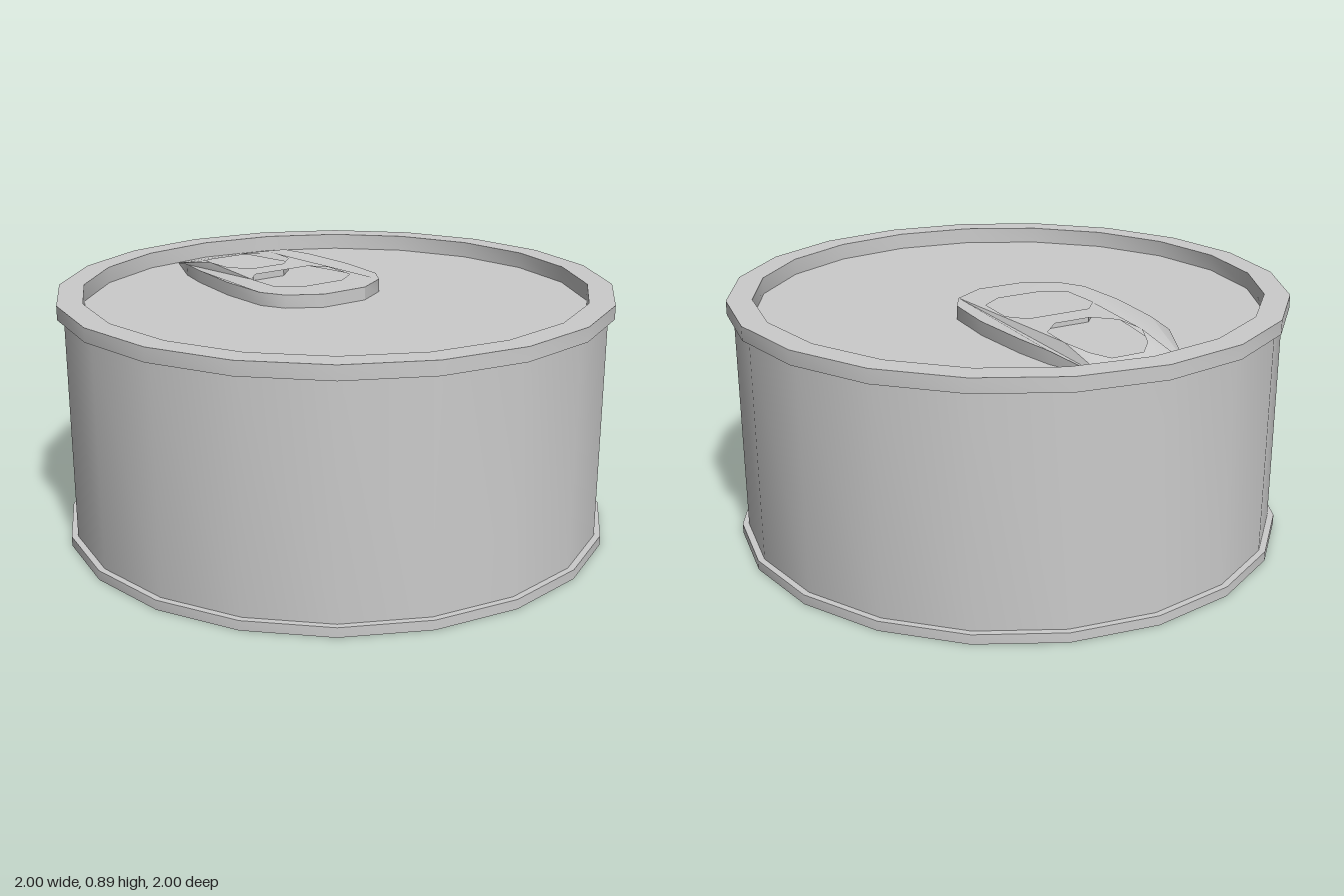
import * as THREE from 'three';
import { toCreasedNormals } from 'three/addons/utils/BufferGeometryUtils.js';

const SIDES = 20;
const LID_Y = 0.83;

export function createModel() {
  const group = new THREE.Group();
  group.name = 'tinCan';
  const material = new THREE.MeshStandardMaterial({ color: 0xcccccc });

  const add = (name, geometry) => {
    const mesh = new THREE.Mesh(toCreasedNormals(geometry, Math.PI / 6), material);
    mesh.name = name;
    group.add(mesh);
  };
  // Profiles run bottom to top on the outside, as [radius, height]
  const lathe = (name, profile) =>
    add(name, new THREE.LatheGeometry(profile.map(([r, y]) => new THREE.Vector2(r, y)), SIDES));

  // Wall and the two rims that fold over its ends
  lathe('wall', [[0.977, 0.035], [0.977, 0.84]]);
  lathe('topRim', [[0.977, 0.84], [1, 0.84], [1, 0.89], [0.91, 0.89], [0.91, LID_Y]]);
  lathe('bottomRim', [[0.945, 0.02], [0.945, 0], [1, 0], [1, 0.035], [0.977, 0.035]]);

  // Recessed end panels
  lathe('lid', [[0.91, LID_Y], [0, LID_Y]]);
  lathe('base', [[0, 0.02], [0.945, 0.02]]);

  // Pull tab: half outlines mirrored across the x axis
  const mirrored = (half) =>
    [...half, ...half.slice().reverse().map(([x, y]) => [x, -y])].map(([x, y]) => new THREE.Vector2(x, y));
  const tabShape = new THREE.Shape(mirrored([
    [-0.875, 0.15], [-0.67, 0.23], [-0.53, 0.255], [-0.3, 0.273],
    [-0.1, 0.26], [-0.015, 0.21], [0.055, 0.09],
  ]));
  tabShape.holes.push(
    new THREE.Path(mirrored([[-0.77, 0.06], [-0.72, 0.11], [-0.63, 0.148], [-0.51, 0.14], [-0.44, 0.07]])),
    new THREE.Path(mirrored([[-0.35, 0.12], [-0.29, 0.175], [-0.14, 0.168], [-0.085, 0.09]])),
  );
  const tab = new THREE.ExtrudeGeometry(tabShape, { depth: 0.048, bevelEnabled: false });
  tab.rotateX(-Math.PI / 2);

  // Thin the tab down to the lid where it meets the rim
  const pos = tab.attributes.position;
  for (let i = 0; i < pos.count; i++) {
    const ramp = THREE.MathUtils.clamp((pos.getX(i) + 0.875) / 0.22, 0.05, 1);
    pos.setY(i, LID_Y + pos.getY(i) * ramp);
  }
  add('pullTab', tab);

  return group;
}
